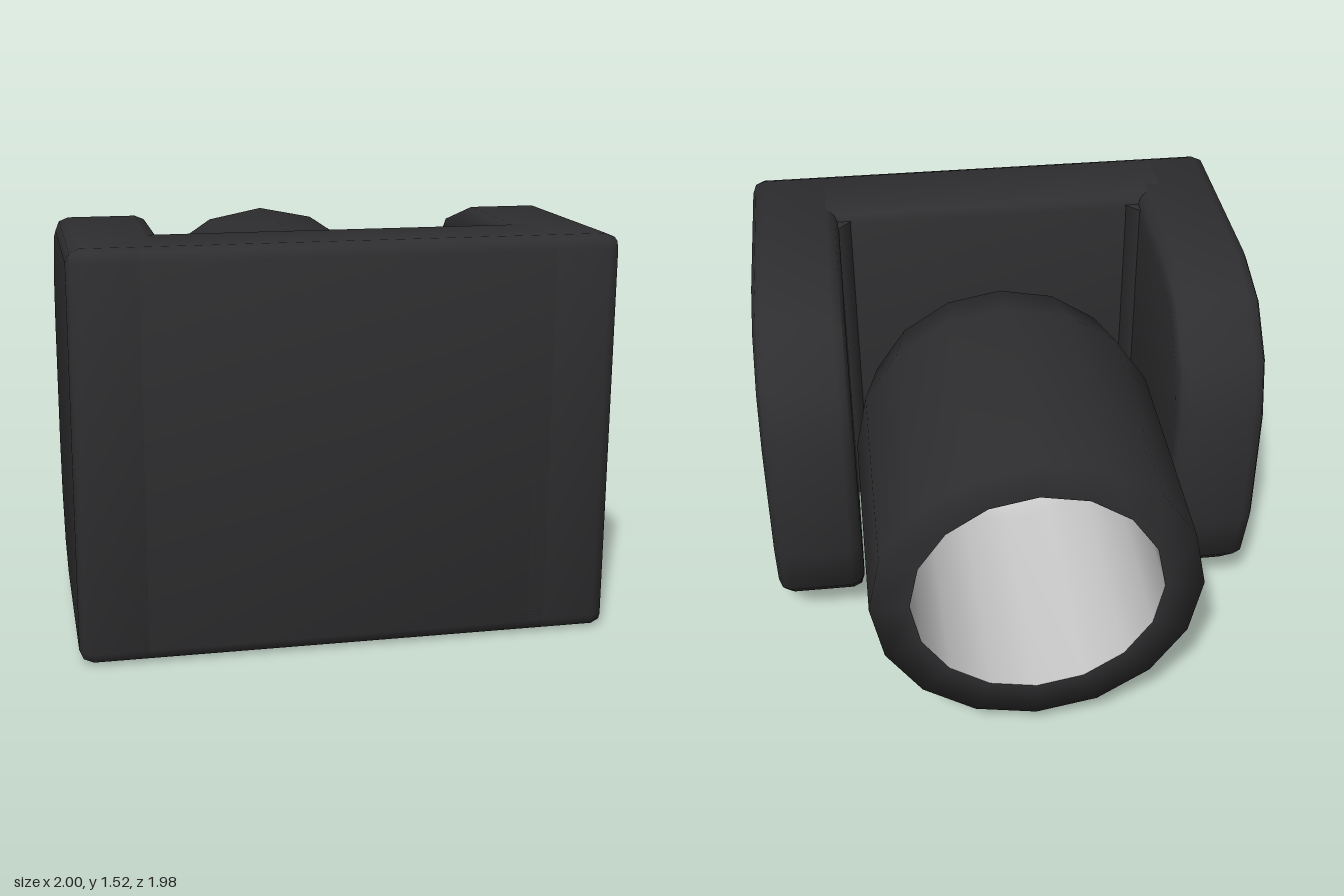
import * as THREE from 'three';
import { toCreasedNormals } from 'three/addons/utils/BufferGeometryUtils.js';

const dark = new THREE.MeshStandardMaterial({ color: 0x2e2e30 });
const grey = new THREE.MeshStandardMaterial({ color: 0xcccccc });
const HEIGHT = 1.52, FRONT = 0.985, BACK = -0.37, BEVEL = 0.05;
const MID = HEIGHT / 2;

// Rectangle in the (z, y) plane, inset all round, with its own radius at the back and front corners
function sideProfile(z0, z1, inset, backR, backSteps, frontR, frontSteps) {
  const pts = [];
  const corner = (cz, cy, r, start, steps) => {
    for (let i = 0; i <= steps; i++) {
      const a = start + (i / steps) * Math.PI / 2;
      pts.push(new THREE.Vector2(cz + r * Math.cos(a), cy + r * Math.sin(a)));
    }
  };
  const a = z0 + inset, b = z1 - inset, lo = inset, hi = HEIGHT - inset;
  corner(b - frontR, hi - frontR, frontR, 0, frontSteps);
  corner(a + backR, hi - backR, backR, Math.PI / 2, backSteps);
  corner(a + backR, lo + backR, backR, Math.PI, backSteps);
  corner(b - frontR, lo + frontR, frontR, Math.PI * 1.5, frontSteps);
  return new THREE.Shape(pts);
}

// Extrude a side profile along x, centred on x = 0
function extrudeX(shape, depth, bevel) {
  const geo = new THREE.ExtrudeGeometry(shape, {
    depth, bevelEnabled: bevel > 0, bevelThickness: bevel, bevelSize: bevel, bevelSegments: 2,
  });
  geo.translate(0, 0, -depth / 2);
  geo.rotateY(-Math.PI / 2);
  return toCreasedNormals(geo, 0.85);
}

function add(parent, name, geo, material) {
  const mesh = new THREE.Mesh(geo, material);
  mesh.name = name;
  parent.add(mesh);
  return mesh;
}

// Wall of the tube: straight barrel running into a rounded nose of three facets
function barrel(radius, nose) {
  const pts = [new THREE.Vector2(radius, -0.99)];
  for (let i = 0; i <= 3; i++) {
    const a = (i / 3) * Math.PI / 2;
    pts.push(new THREE.Vector2(radius - nose + nose * Math.cos(a), nose * Math.sin(a)));
  }
  pts.push(new THREE.Vector2(0, nose));
  return pts;
}

function lathe(points) {
  return new THREE.LatheGeometry(points, 16).rotateX(Math.PI / 2);
}

export function createModel() {
  const model = new THREE.Group();
  model.name = 'clevisJoint';

  // U-shaped bracket: two arms rounded at the back, joined by a front plate
  const bracket = new THREE.Group();
  bracket.name = 'bracket';
  model.add(bracket);

  const armGeo = extrudeX(sideProfile(BACK, FRONT, BEVEL, 0.46, 3, 0.01, 2), 0.36 - 2 * BEVEL, BEVEL);
  const plateGeo = extrudeX(sideProfile(0.61, FRONT, 0, 0.05, 2, 0.05, 2), 1.5, 0);
  add(bracket, 'frontPlate', plateGeo, dark);

  for (const side of [-1, 1]) {
    const name = side > 0 ? 'left' : 'right';
    add(bracket, name + 'Arm', armGeo, dark).position.x = side * 0.82;

    // Small fillet in the inner corner between arm and plate
    const fillet = new THREE.CylinderGeometry(0.07, 0.07, HEIGHT - 0.08, 4);
    add(bracket, name + 'Fillet', fillet, dark).position.set(side * 0.65, MID, 0.62);
  }

  // Hollow tube, open at the back with a rounded nose inside the bracket
  const tube = new THREE.Group();
  tube.name = 'tube';
  tube.position.y = MID;
  model.add(tube);

  const rim = new THREE.Vector2(0.48, -0.99);
  add(tube, 'tubeShell', lathe([rim, ...barrel(0.63, 0.485)]), dark);
  add(tube, 'tubeLining', lathe(barrel(0.48, 0.335).reverse()), grey);

  return model;
}
